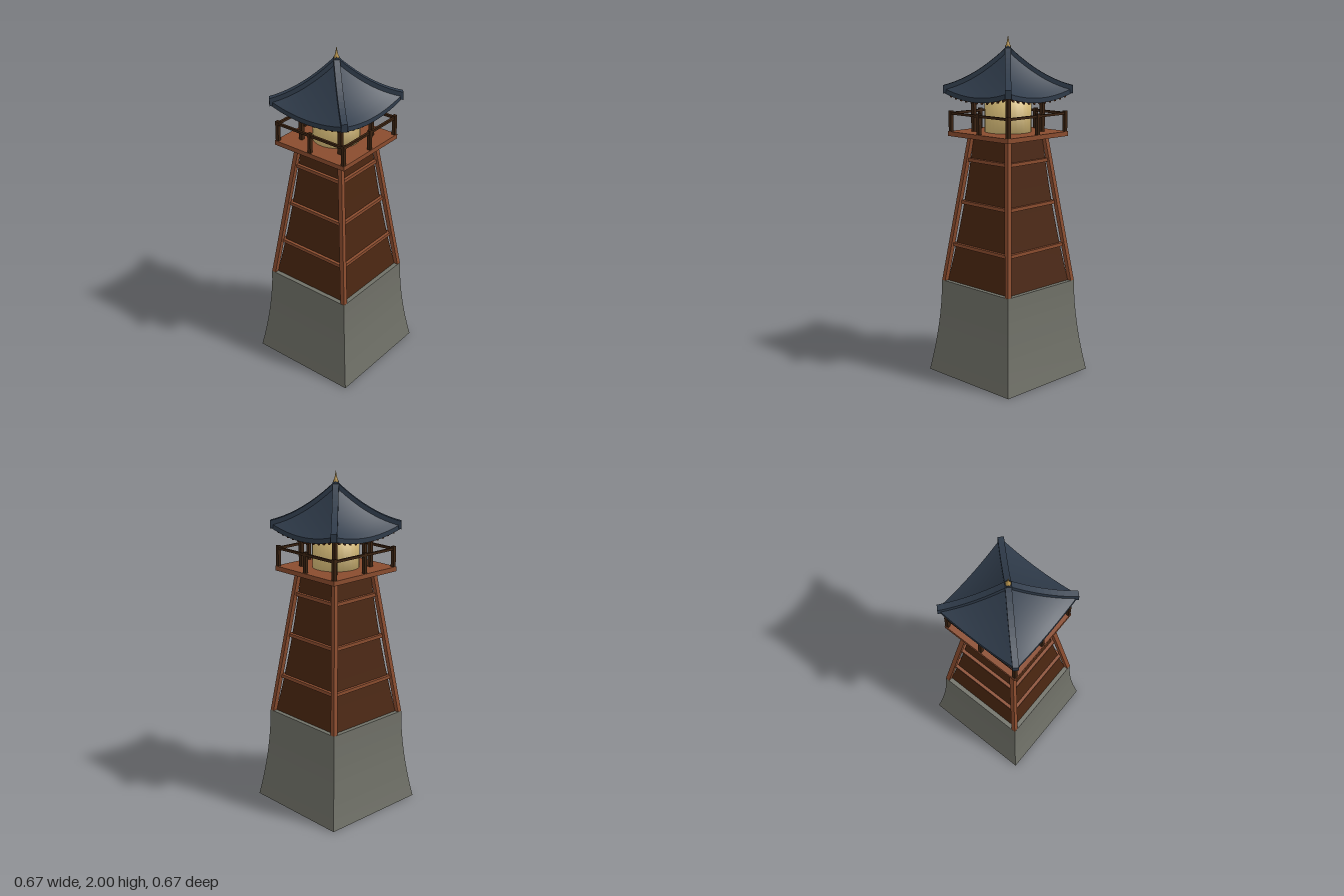
import * as THREE from 'three';

const mat = (name, color, side = THREE.FrontSide) => {
  const m = new THREE.MeshStandardMaterial({ color, side });
  m.name = name;
  return m;
};

export function createModel() {
  const stone = mat('stone', 0x6f7067);
  const panel = mat('panel wood', 0x4a2611);
  const timber = mat('timber', 0x8a4c2e);
  const dark = mat('dark wood', 0x3a2210);
  const tile = mat('roof tile', 0x2f3b4a);
  const paper = mat('lantern paper', 0xe3c67e);
  const brass = mat('brass', 0xb8944e);

  const model = new THREE.Group();
  model.name = 'watchtower';
  const add = (parent, name, geo, material, x = 0, y = 0, z = 0) => {
    const mesh = new THREE.Mesh(geo, material);
    mesh.name = name;
    mesh.position.set(x, y, z);
    parent.add(mesh);
    return mesh;
  };

  // Square tower body from [half width, height] points
  const squareLoft = (points) => {
    const pts = points.map(([r, y]) => new THREE.Vector2(r * Math.SQRT2, y));
    const geo = new THREE.LatheGeometry(pts, 4, Math.PI / 4).toNonIndexed();
    geo.computeVertexNormals();
    return geo;
  };

  // Box sheared between two points; its ends stay square to the chosen axis
  const beam = (a, b, size, axis) => {
    const dims = [size[0], size[1], size[2]];
    dims[axis] = 1;
    const geo = new THREE.BoxGeometry(...dims).toNonIndexed();
    const pos = geo.attributes.position;
    for (let i = 0; i < pos.count; i++) {
      const p = [pos.getX(i), pos.getY(i), pos.getZ(i)];
      const t = p[axis] + 0.5;
      p[axis] = 0;
      pos.setXYZ(i, ...p.map((v, k) => v + a[k] + (b[k] - a[k]) * t));
    }
    geo.computeVertexNormals();
    return geo;
  };

  // Grid surface from a rule f(u, v), u and v in 0..1
  const surface = (f, nu, nv) => {
    const pos = [], idx = [];
    for (let j = 0; j <= nv; j++) for (let i = 0; i <= nu; i++) pos.push(...f(i / nu, j / nv));
    for (let j = 0; j < nv; j++) for (let i = 0; i < nu; i++) {
      const a = j * (nu + 1) + i, c = a + nu + 1;
      idx.push(a, c, a + 1, a + 1, c, c + 1);
    }
    const geo = new THREE.BufferGeometry();
    geo.setAttribute('position', new THREE.Float32BufferAttribute(pos, 3));
    geo.setIndex(idx);
    geo.computeVertexNormals();
    return geo;
  };

  // Flared stone base
  const flare = [[0, 0]];
  for (let i = 0; i <= 8; i++) flare.push([0.278 + 0.057 * (1 - i / 8) ** 1.8, 0.56 * i / 8]);
  flare.push([0, 0.56]);
  add(model, 'stoneBase', squareLoft(flare), stone);

  // Slightly concave timber-clad shaft
  const shaftHalf = (y) => {
    const t = (y - 0.56) / 0.87;
    return 0.252 - 0.112 * t - 0.04 * t * (1 - t);
  };
  const shaft = [];
  for (let i = 0; i <= 6; i++) {
    const y = 0.56 + 0.87 * i / 6;
    shaft.push([shaftHalf(y), y]);
  }
  add(model, 'shaft', squareLoft(shaft), panel);

  // Deck and lantern room
  add(model, 'deck', new THREE.BoxGeometry(0.49, 0.027, 0.49), timber, 0, 1.437, 0);
  const lantern = [[0, 1.45], [0.135, 1.45], [0.135, 1.66], [0, 1.66]];
  add(model, 'lantern', new THREE.LatheGeometry(lantern.map((p) => new THREE.Vector2(...p)), 32), paper);

  // Roof height: s runs along an eave (-1..1), t from apex to eave
  const R = 0.262;
  const roofY = (s, t) => 1.925 - 0.359 * t + 0.134 * t * t - 0.04 * t * t * (1 - s * s);
  const thick = 0.027;
  const roofPoint = (u, t, drop) => {
    const s = u * 2 - 1;
    return [s * R * t, roofY(s, t) - drop, R * t];
  };

  // Hip ridge outline along the diagonal
  const hip = new THREE.Shape();
  for (let i = 0; i <= 10; i++) {
    const t = i / 10;
    hip[i ? 'lineTo' : 'moveTo'](t * R * Math.SQRT2, roofY(1, t) + 0.016);
  }
  for (let i = 10; i >= 0; i--) hip.lineTo(i / 10 * R * Math.SQRT2, roofY(1, i / 10) - 0.03);
  const hipGeo = new THREE.ExtrudeGeometry(hip, { depth: 0.034, bevelEnabled: false });
  hipGeo.translate(0, 0, -0.017);

  for (let k = 0; k < 4; k++) {
    const side = new THREE.Group();
    side.name = 'side' + (k + 1);
    side.rotation.y = k * Math.PI / 2;
    model.add(side);

    // Leaning corner post and cross rails of the shaft
    add(side, 'cornerPost', beam([0.264, 0.56, 0.264], [0.15, 1.43, 0.15], [0.027, 0, 0.027], 1), timber);
    for (const y of [0.78, 1.035, 1.285]) {
      const reach = 0.264 - 0.114 * (y - 0.56) / 0.87;
      add(side, 'crossRail', new THREE.BoxGeometry(reach * 2 - 0.02, 0.02, 0.022), timber, 0, y, shaftHalf(y) + 0.006);
    }

    // Balustrade
    for (const x of [0, 0.232]) {
      add(side, 'railingPost', new THREE.BoxGeometry(0.02, 0.12, 0.02), dark, x, 1.51, 0.232);
    }
    add(side, 'handrail', new THREE.BoxGeometry(0.464, 0.014, 0.014), dark, 0, 1.555, 0.232);

    // Lantern room frame
    add(side, 'roomPost', new THREE.BoxGeometry(0.022, 0.23, 0.022), dark, 0.139, 1.565, 0.139);
    add(side, 'headBeam', new THREE.BoxGeometry(0.28, 0.022, 0.02), dark, 0, 1.665, 0.139);

    // Roof slope, soffit and eave edge
    add(side, 'roofSlope', surface((u, v) => roofPoint(u, v, 0), 12, 10), tile);
    add(side, 'soffit', surface((u, v) => roofPoint(1 - u, v, thick), 12, 10), panel);
    add(side, 'eaveEdge', surface((u, v) => roofPoint(u, 1, v * thick), 12, 1), tile);
    add(side, 'hipRidge', hipGeo, tile).rotation.y = Math.PI / 4;

    // Rafters under the eave
    for (let i = -5; i <= 5; i++) {
      const x = i * 0.042;
      const z0 = Math.max(0.13, Math.abs(x) + 0.008), z1 = 0.25;
      const under = (z) => roofY(x / z, z / R) - thick - 0.008;
      add(side, 'rafter', beam([x, under(z0), z0], [x, under(z1), z1], [0.014, 0.02, 0], 2), panel);
    }
  }

  // Finial
  const spire = [[0, 1.92], [0.013, 1.925], [0.015, 1.938], [0.009, 1.952], [0.006, 1.965], [0, 2]];
  add(model, 'finial', new THREE.LatheGeometry(spire.map((p) => new THREE.Vector2(...p)), 12), brass);

  return model;
}
